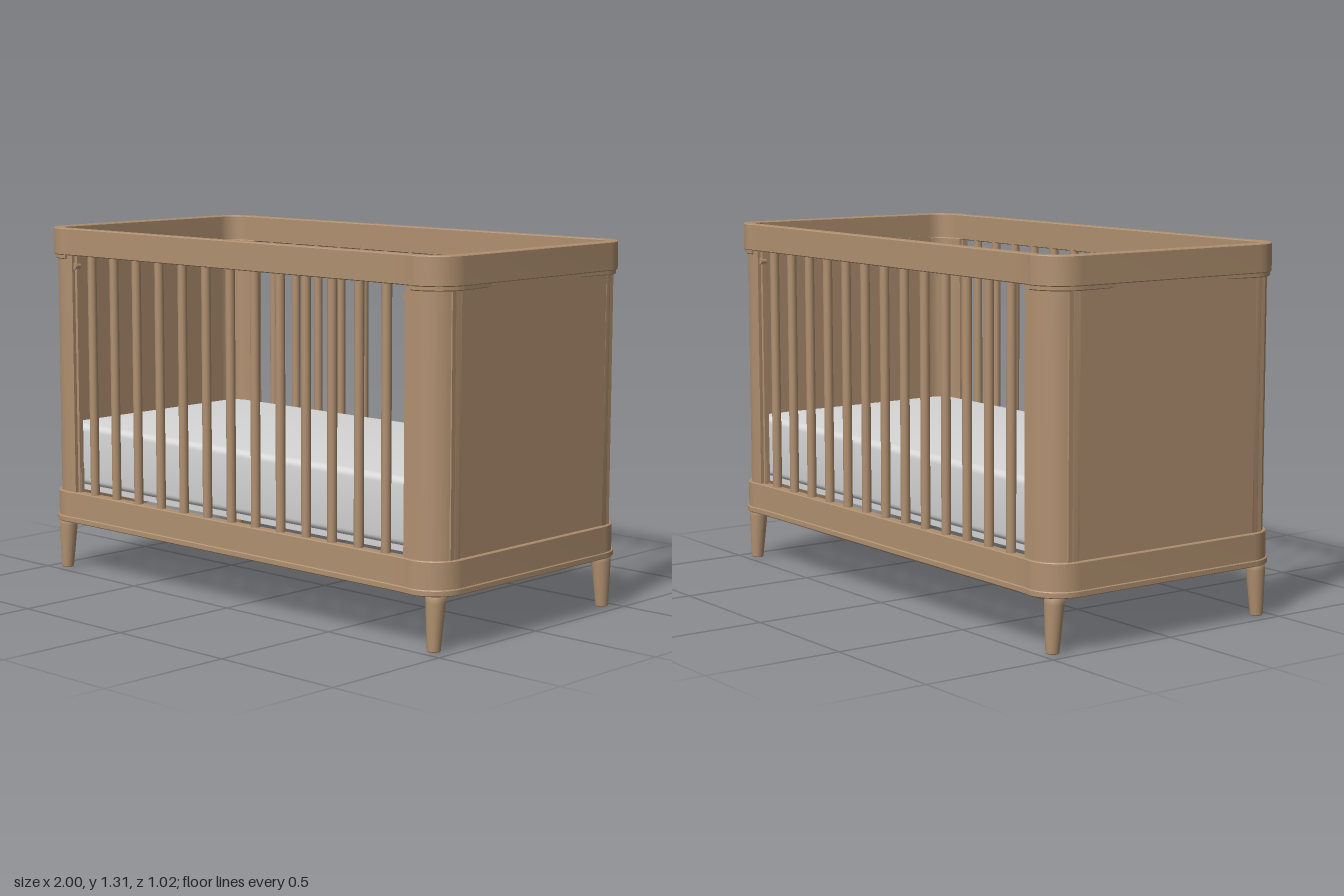
import * as THREE from 'three';
import { toCreasedNormals } from 'three/addons/utils/BufferGeometryUtils.js';

const wood = new THREE.MeshStandardMaterial({ color: 0xb09070 });
wood.name = 'warm wood';
const fabric = new THREE.MeshStandardMaterial({ color: 0xd6d6d6 });
fabric.name = 'mattress fabric';

// Rounded rectangle; the long sides may be drawn in slightly between the corners.
function roundedRect(path, x, z, r, inset = 0) {
  const zi = z - inset, a = x - r - 0.03, b = a - 0.06;
  path.moveTo(-b, -zi);
  path.lineTo(b, -zi);
  path.quadraticCurveTo(a, -zi, a + 0.03, -z);
  path.absarc(x - r, -z + r, r, -Math.PI / 2, 0, false);
  path.absarc(x - r, z - r, r, 0, Math.PI / 2, false);
  path.quadraticCurveTo(a, zi, b, zi);
  path.lineTo(-b, zi);
  path.quadraticCurveTo(-a, zi, -a - 0.03, z);
  path.absarc(-x + r, z - r, r, Math.PI / 2, Math.PI, false);
  path.absarc(-x + r, -z + r, r, Math.PI, Math.PI * 1.5, false);
  path.quadraticCurveTo(-a, -zi, -b, -zi);
  return path;
}

// Raise a plan shape from y0 to y1, with edges eased inward by the bevel.
function raise(shape, y0, y1, bevel = 0.003, steps = 1) {
  const geo = new THREE.ExtrudeGeometry(shape, {
    depth: y1 - y0 - 2 * bevel, bevelEnabled: true, bevelSize: bevel,
    bevelThickness: bevel, bevelOffset: -bevel, bevelSegments: steps, curveSegments: 10,
  });
  geo.rotateX(-Math.PI / 2);
  geo.translate(0, y0 + bevel, 0);
  return toCreasedNormals(geo, 0.6);
}

function ring(x, z, r, t, inset, y0, y1) {
  const shape = roundedRect(new THREE.Shape(), x, z, r, inset);
  shape.holes.push(roundedRect(new THREE.Path(), x - t, z - t, r - t));
  return raise(shape, y0, y1);
}

// Curved corner: a quarter round wall with a short flat on each side.
function cornerShape(x, z, r, t, x0, z0) {
  const s = new THREE.Shape();
  s.moveTo(x, z0);
  s.absarc(x - r, z - r, r, 0, Math.PI / 2, false);
  s.lineTo(x0, z);
  s.lineTo(x0, z - t);
  s.absarc(x - r, z - r, r - t, Math.PI / 2, 0, true);
  s.lineTo(x - t, z0);
  s.closePath();
  return s;
}

export function createModel() {
  const crib = new THREE.Group();
  crib.name = 'crib';
  const add = (name, geo, mat, x = 0, y = 0, z = 0) => {
    const m = new THREE.Mesh(geo, mat);
    m.name = name;
    m.position.set(x, y, z);
    crib.add(m);
    return m;
  };

  // Continuous top and base frames
  add('topRail', ring(1, 0.505, 0.12, 0.045, 0.008, 1.205, 1.305), wood);
  add('baseFrame', ring(0.996, 0.503, 0.12, 0.045, 0.006, 0.205, 0.307), wood);
  add('baseLip', ring(1, 0.508, 0.12, 0.05, 0.006, 0.19, 0.212), wood);

  // Corner posts, collars, legs and fittings, mirrored to four corners
  const post = raise(cornerShape(0.985, 0.492, 0.11, 0.04, 0.835, 0.42), 0.3, 1.21);
  const collar = raise(cornerShape(0.996, 0.501, 0.12, 0.036, 0.865, 0), 1.19, 1.23);
  const leg = new THREE.LatheGeometry([
    [0, 0], [0.02, 0], [0.023, 0.004], [0.034, 0.165], [0.034, 0.2], [0, 0.2],
  ].map(p => new THREE.Vector2(...p)), 20);
  const knob = new THREE.CylinderGeometry(0.013, 0.013, 0.024, 12);
  const stile = new THREE.BoxGeometry(0.018, 0.9, 0.018);
  const lowerFitting = new THREE.BoxGeometry(0.03, 0.09, 0.015);
  for (const sx of [1, -1]) for (const sz of [1, -1]) {
    // The unturned corner lies at +x, -z; half turns carry it to the others.
    for (const [name, geo, span] of [['cornerPost', post, 1.51], ['postCollar', collar, 2.42]]) {
      const m = add(name, geo, wood);
      if (sx > 0 && sz > 0) { m.rotation.x = Math.PI; m.position.y = span; }
      if (sx < 0 && sz > 0) m.rotation.y = Math.PI;
      if (sx < 0 && sz < 0) { m.rotation.z = Math.PI; m.position.y = span; }
    }
    add('leg', leg, wood, sx * 0.936, 0, sz * 0.453).rotation.x = -sz * 0.045;
    add('sideStile', stile, wood, sx * 0.832, 0.755, sz * 0.47);
    add('fittingKnob', knob, wood, sx * 0.832, 1.165, sz * 0.473).rotation.x = Math.PI / 2;
    add('lowerFitting', lowerFitting, wood, sx * 0.835, 0.355, sz * 0.469);
  }

  // End panels set just behind the post faces
  for (const s of [1, -1]) {
    add('endPanel', new THREE.BoxGeometry(0.03, 0.92, 0.85), wood, s * 0.967, 0.755, 0);
  }

  // Spindles along both long sides
  const spindle = new THREE.CylinderGeometry(0.017, 0.017, 0.93, 14);
  for (const s of [1, -1]) {
    for (let i = -6; i <= 6; i++) add('spindle', spindle, wood, i * 0.1235, 0.755, s * 0.475);
  }

  // Mattress with a narrower flat underside
  const mattress = roundedRect(new THREE.Shape(), 0.943, 0.453, 0.075);
  add('mattress', raise(mattress, 0.33, 0.562, 0.025, 5), fabric);
  add('mattressBase', new THREE.BoxGeometry(1.8, 0.03, 0.87), fabric, 0, 0.325, 0);

  return crib;
}
